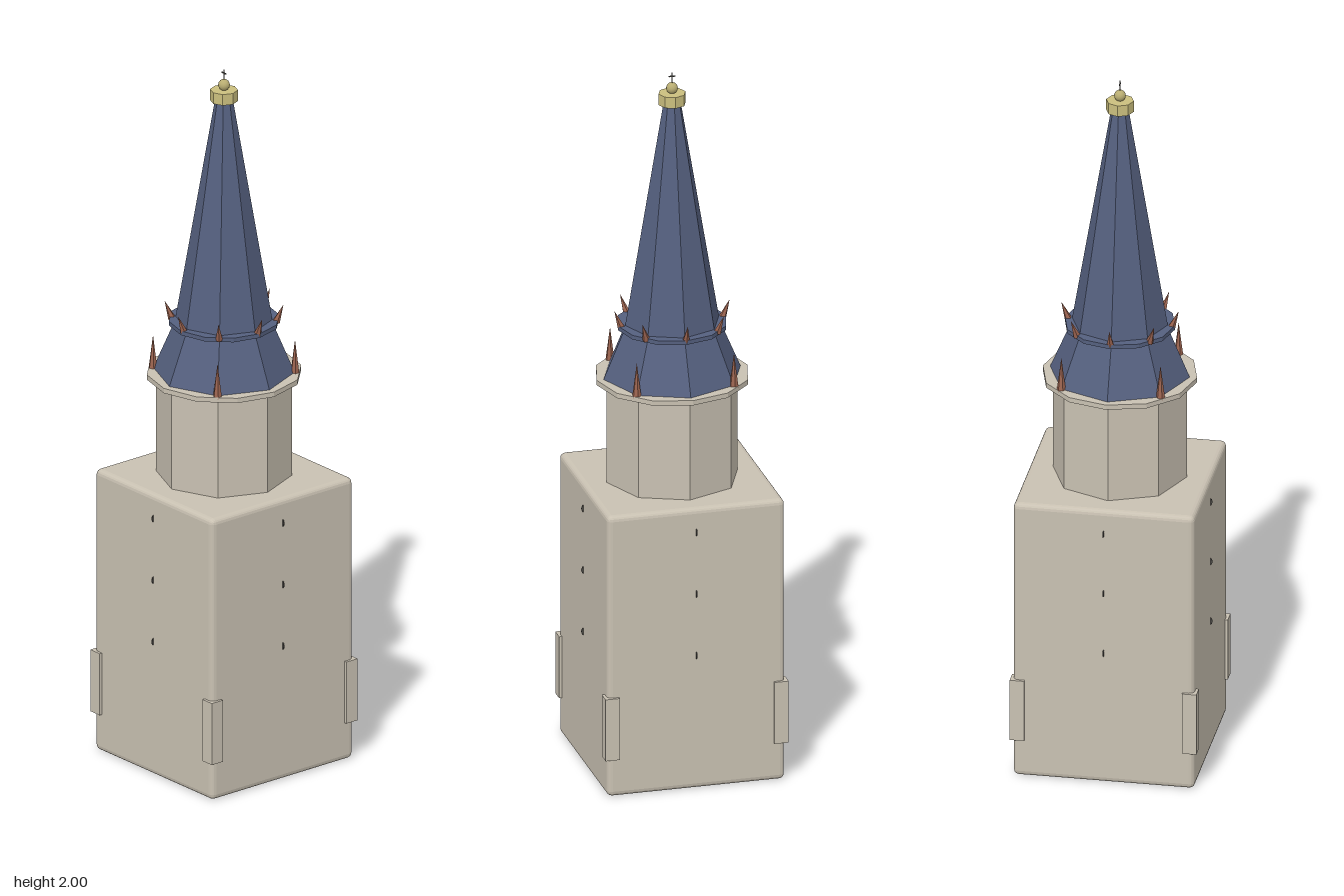
import * as THREE from 'three';
import { RoundedBoxGeometry } from 'three/addons/geometries/RoundedBoxGeometry.js';

export function createModel() {
  const tower = new THREE.Group();
  tower.name = 'tower';
  const mat = (name, color, flatShading = true) => {
    const m = new THREE.MeshStandardMaterial({ color, flatShading });
    m.name = name;
    return m;
  };
  const stone = mat('stone', 0xc9c1b2);
  const slate = mat('slate blue', 0x55607f);
  const copper = mat('copper', 0x9c6450);
  const gold = mat('gold', 0xcbbf7e);
  const dark = mat('dark iron', 0x4a4844);

  const add = (name, geometry, material, x = 0, y = 0, z = 0, parent = tower) => {
    const mesh = new THREE.Mesh(geometry, material);
    mesh.name = name;
    mesh.position.set(x, y, z);
    parent.add(mesh);
    return mesh;
  };
  // Prism or frustum standing between two heights
  const frustum = (name, material, rBottom, rTop, y0, y1, sides = 8) =>
    add(name, new THREE.CylinderGeometry(rTop, rBottom, y1 - y0, sides), material, 0, (y0 + y1) / 2, 0);

  // Square base with softened edges
  add('base', new RoundedBoxGeometry(0.5, 0.82, 0.5, 2, 0.015), stone, 0, 0.41, 0);

  // Corner blocks
  for (const x of [-1, 1]) for (const z of [-1, 1]) {
    add('cornerBlock', new THREE.BoxGeometry(0.04, 0.18, 0.04), stone, x * 0.238, 0.2, z * 0.238);
  }

  // Small thin discs set edge-on in each wall
  for (let i = 0; i < 4; i++) {
    const wall = new THREE.Group();
    wall.name = 'wallFins';
    wall.rotation.y = i * Math.PI / 2;
    for (const y of [0.39, 0.57, 0.75]) {
      const fin = add('wallFin', new THREE.CylinderGeometry(0.013, 0.013, 0.003, 10), dark, 0, y, 0.243, wall);
      fin.rotation.z = Math.PI / 2;
    }
    tower.add(wall);
  }

  // Octagonal drum, cornice and roof
  frustum('drum', stone, 0.185, 0.185, 0.81, 1.115);
  frustum('cornice', stone, 0.213, 0.213, 1.108, 1.122, 12);
  frustum('lowerRoof', slate, 0.193, 0.133, 1.122, 1.264);
  frustum('roofRing', slate, 0.152, 0.152, 1.262, 1.274, 12);
  frustum('spire', slate, 0.132, 0.024, 1.274, 1.915);

  // Tall spikes on the diagonal corners of the lower roof
  for (const x of [-1, 1]) for (const z of [-1, 1]) {
    add('cornerSpike', new THREE.ConeGeometry(0.013, 0.1, 6), copper, x * 0.137, 1.167, z * 0.137);
  }

  // Outward-leaning spikes around the roof ring
  for (let i = 0; i < 8; i++) {
    const arm = new THREE.Group();
    arm.name = 'ringSpikeArm';
    arm.rotation.y = i * Math.PI / 4;
    const spike = add('ringSpike', new THREE.ConeGeometry(0.011, 0.056, 5), copper, 0, 1.293, 0.152, arm);
    spike.rotation.x = 0.38;
    tower.add(arm);
  }

  // Finial: collar, ball, rod and tiny crossbar
  frustum('collar', gold, 0.038, 0.038, 1.91, 1.942);
  add('finialBall', new THREE.SphereGeometry(0.016, 16, 12), mat('polished gold', 0xb9ad72, false), 0, 1.956, 0);
  frustum('finialRod', dark, 0.002, 0.002, 1.965, 2.0, 6);
  add('crossbar', new THREE.BoxGeometry(0.018, 0.003, 0.003), dark, 0, 1.99, 0);
  return tower;
}
